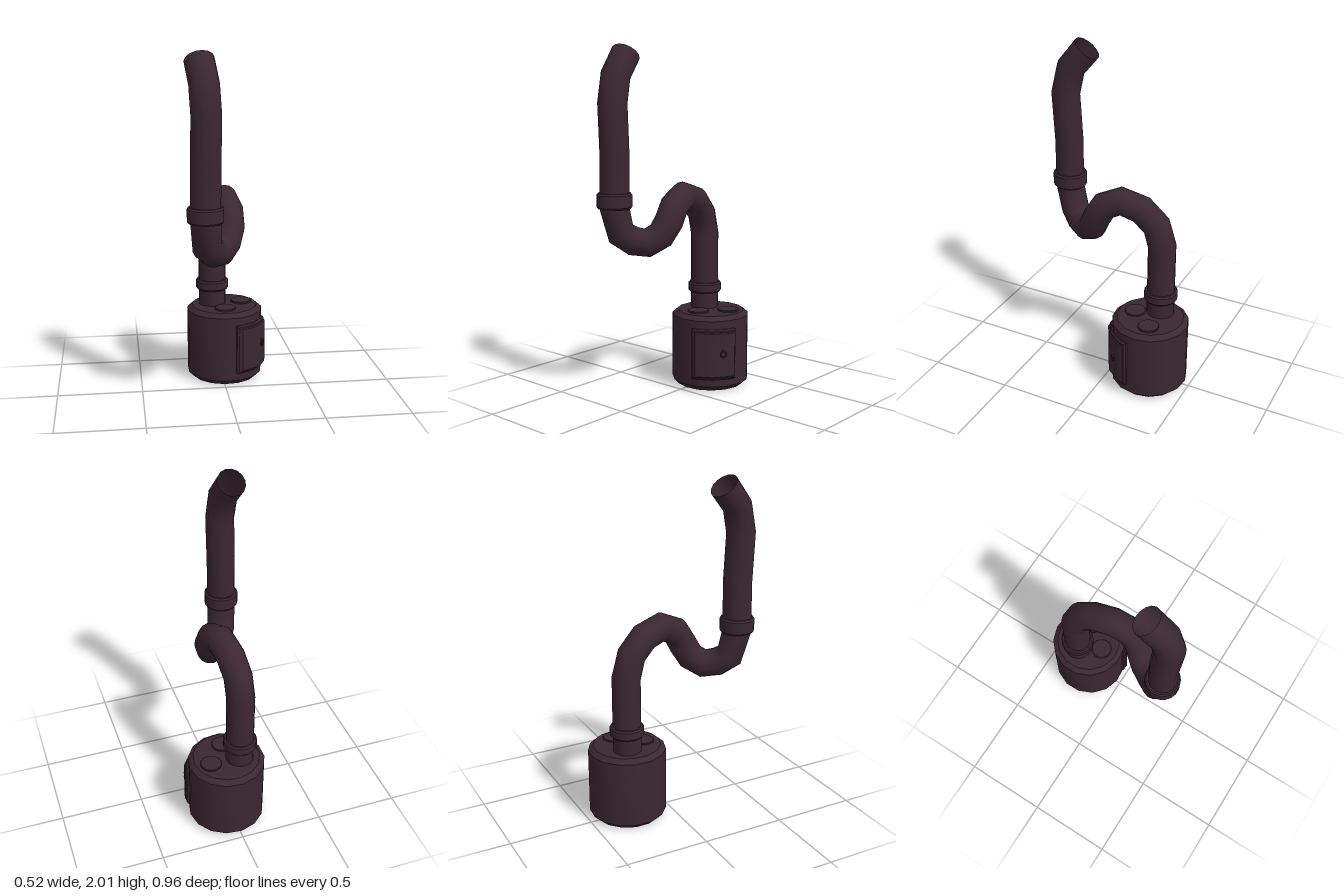
import * as THREE from 'three';
import { toCreasedNormals } from 'three/addons/utils/BufferGeometryUtils.js';

const V = (x, y, z) => new THREE.Vector3(x, y, z);

// Mitred tube: one ring of points per path station, closed around, open at the ends
function sweep(path, radius, sides) {
  const pos = [], index = [];
  let side = V(1, 0, 0);
  path.forEach((p, i) => {
    const before = path[Math.max(i - 1, 0)], after = path[Math.min(i + 1, path.length - 1)];
    const a = p.clone().sub(before).normalize(), b = after.clone().sub(p).normalize();
    const t = a.add(b).normalize();
    side = side.clone().addScaledVector(t, -side.dot(t)).normalize();
    const up = t.clone().cross(side);
    for (let j = 0; j < sides; j++) {
      const k = (j / sides) * Math.PI * 2;
      const q = p.clone().addScaledVector(side, Math.cos(k) * radius).addScaledVector(up, Math.sin(k) * radius);
      pos.push(q.x, q.y, q.z);
      if (i < path.length - 1) {
        const n = (j + 1) % sides, r = i * sides;
        index.push(r + j, r + n, r + sides + j, r + n, r + sides + n, r + sides + j);
      }
    }
  });
  const g = new THREE.BufferGeometry();
  g.setAttribute('position', new THREE.Float32BufferAttribute(pos, 3));
  g.setIndex(index);
  g.computeVertexNormals();
  return g;
}

// Turned solid with bevel edges kept crisp
function turned(points, sides, phiStart = Math.PI / 2) {
  const g = new THREE.LatheGeometry(points.map(p => new THREE.Vector2(...p)), sides, phiStart);
  return toCreasedNormals(g, 0.6);
}

// Curved plate on the drum: angles in degrees from +x towards +z, with sloped edges
function curvedPlate(a0, a1, y0, y1, rOut, bevel) {
  const slope = 3, rIn = 0.215;
  const angles = [a0, a0 + slope, ...[24, 48, 72].filter(a => a > a0 + slope && a < a1 - slope), a1 - slope, a1];
  const pos = [], index = [];
  angles.forEach((deg, i) => {
    const edge = i === 0 || i === angles.length - 1;
    const a = THREE.MathUtils.degToRad(deg), top = edge ? rOut - bevel : rOut;
    const section = [[rIn, y0], [rOut - bevel, y0], [top, y0 + bevel], [top, y1 - bevel], [rOut - bevel, y1], [rIn, y1]];
    section.forEach(([r, y], j) => {
      pos.push(r * Math.cos(a), y, r * Math.sin(a));
      if (i < angles.length - 1) {
        const n = (j + 1) % 6, o = i * 6;
        index.push(o + j, o + n, o + 6 + j, o + n, o + 6 + n, o + 6 + j);
      }
    });
  });
  const last = (angles.length - 1) * 6;
  for (let j = 1; j < 5; j++) {
    index.push(0, j + 1, j, last, last + j, last + j + 1);
  }
  const g = new THREE.BufferGeometry();
  g.setAttribute('position', new THREE.Float32BufferAttribute(pos, 3));
  g.setIndex(index);
  g.computeVertexNormals();
  return toCreasedNormals(g, 0.6);
}

export function createModel() {
  const root = new THREE.Group();
  const iron = new THREE.MeshStandardMaterial({ color: 0x3b2731, side: THREE.DoubleSide });
  iron.name = 'darkIron';
  const add = (parent, name, geometry, x = 0, y = 0, z = 0) => {
    const m = new THREE.Mesh(geometry, iron);
    m.name = name;
    m.position.set(x, y, z);
    parent.add(m);
    return m;
  };

  // Stove drum with bevelled rims
  const stove = new THREE.Group();
  stove.name = 'stove';
  stove.position.set(0.022, 0, -0.248);
  root.add(stove);
  add(stove, 'drum', turned([[0, 0], [0.2, 0], [0.23, 0.03], [0.23, 0.425], [0.2, 0.45], [0, 0.45]], 15));

  // Cooking lids on top
  for (const [x, z] of [[0.108, -0.037], [-0.007, 0.103]]) {
    add(stove, 'lid', turned([[0.063, 0.445], [0.063, 0.457], [0.06, 0.46], [0, 0.46]], 18), x, 0, z);
  }

  // Door, following the drum's curve
  add(stove, 'doorFrame', curvedPlate(12, 78, 0.075, 0.378, 0.245, 0.008));
  add(stove, 'doorPanel', curvedPlate(16, 74, 0.09, 0.362, 0.254, 0.006));

  // Ring handle hanging from a small peg
  const handle = new THREE.Group();
  handle.name = 'doorHandle';
  handle.rotation.y = THREE.MathUtils.degToRad(57);
  handle.position.set(0.217, 0.235, 0.141);
  stove.add(handle);
  add(handle, 'handleRing', new THREE.TorusGeometry(0.017, 0.004, 6, 14));
  const peg = add(handle, 'handlePeg', new THREE.CylinderGeometry(0.007, 0.007, 0.026, 8), 0, 0.019, -0.006);
  peg.rotation.x = Math.PI / 2;

  // Winding chimney pipe, open at the top
  const path = [
    [-0.05, 0.44, -0.28], [-0.05, 0.9, -0.28], [-0.045, 1.03, -0.243], [-0.03, 1.118, -0.155],
    [-0.01, 1.154, -0.035], [0.008, 1.108, 0.063], [0.01, 1.02, 0.115], [-0.015, 0.945, 0.155],
    [-0.06, 0.904, 0.215], [-0.105, 0.918, 0.285], [-0.145, 0.962, 0.342], [-0.157, 1.11, 0.38],
    [-0.157, 1.2, 0.38], [-0.155, 1.4, 0.378], [-0.153, 1.69, 0.393], [-0.16, 1.84, 0.36], [-0.176, 1.962, 0.262],
  ].map(p => V(...p));
  add(root, 'chimneyPipe', sweep(path, 0.083, 15));

  // Collars where pipe lengths join
  for (const [x, y, z, h] of [[-0.05, 0.545, -0.28, 0.062], [-0.158, 1.108, 0.38, 0.088]]) {
    add(root, 'pipeCollar', turned([[0.08, 0], [0.092, 0], [0.1, 0.01], [0.1, h - 0.01], [0.092, h], [0.08, h]], 18), x, y, z);
  }
  return root;
}
